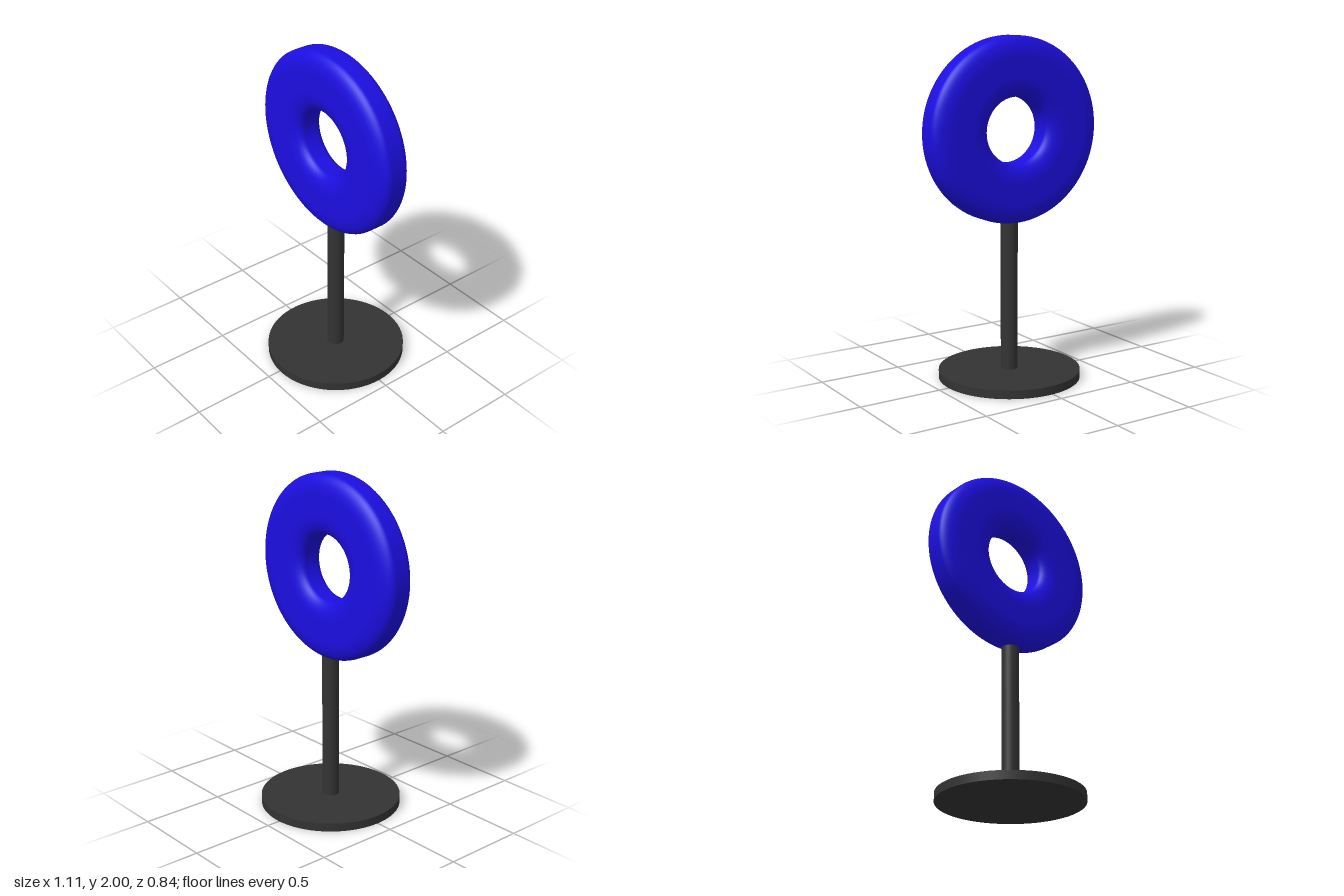
import * as THREE from 'three';

const blue = new THREE.MeshStandardMaterial({ color: 0x1c0ee0 });
const dark = new THREE.MeshStandardMaterial({ color: 0x333333 });

// Closed ring cross-section: a rectangle with elliptical corners, counter-clockwise from the outer wall
function ringProfile(inner, outer, half, cornerR, cornerZ) {
  const points = [new THREE.Vector2(outer, 0)];
  const steps = 10;
  const corners = [
    [outer - cornerR, half - cornerZ],
    [inner + cornerR, half - cornerZ],
    [inner + cornerR, cornerZ - half],
    [outer - cornerR, cornerZ - half],
  ];
  corners.forEach(([r, z], i) => {
    for (let s = 0; s <= steps; s++) {
      const a = (i + s / steps) * Math.PI / 2;
      points.push(new THREE.Vector2(r + cornerR * Math.cos(a), z + cornerZ * Math.sin(a)));
    }
  });
  points.push(new THREE.Vector2(outer, 0));
  return points;
}

function cylinder(name, radius, bottom, top) {
  const mesh = new THREE.Mesh(new THREE.CylinderGeometry(radius, radius, top - bottom, 64), dark);
  mesh.name = name;
  mesh.position.set(0.02, (bottom + top) / 2, 0);
  return mesh;
}

export function createModel() {
  const model = new THREE.Group();
  model.name = 'ringOnStand';

  // Flat round foot and upright post
  model.add(cylinder('base', 0.418, 0, 0.05));
  model.add(cylinder('post', 0.05, 0.05, 0.98));

  // Upright ring with softened edges, slightly wider than tall
  const geometry = new THREE.LatheGeometry(ringProfile(0.199, 0.557, 0.103, 0.12, 0.062), 96);
  geometry.rotateX(Math.PI / 2);
  geometry.scale(1, 0.965, 1);
  const ring = new THREE.Mesh(geometry, blue);
  ring.name = 'ring';
  ring.position.set(0, 1.463, 0.008);
  model.add(ring);

  return model;
}
